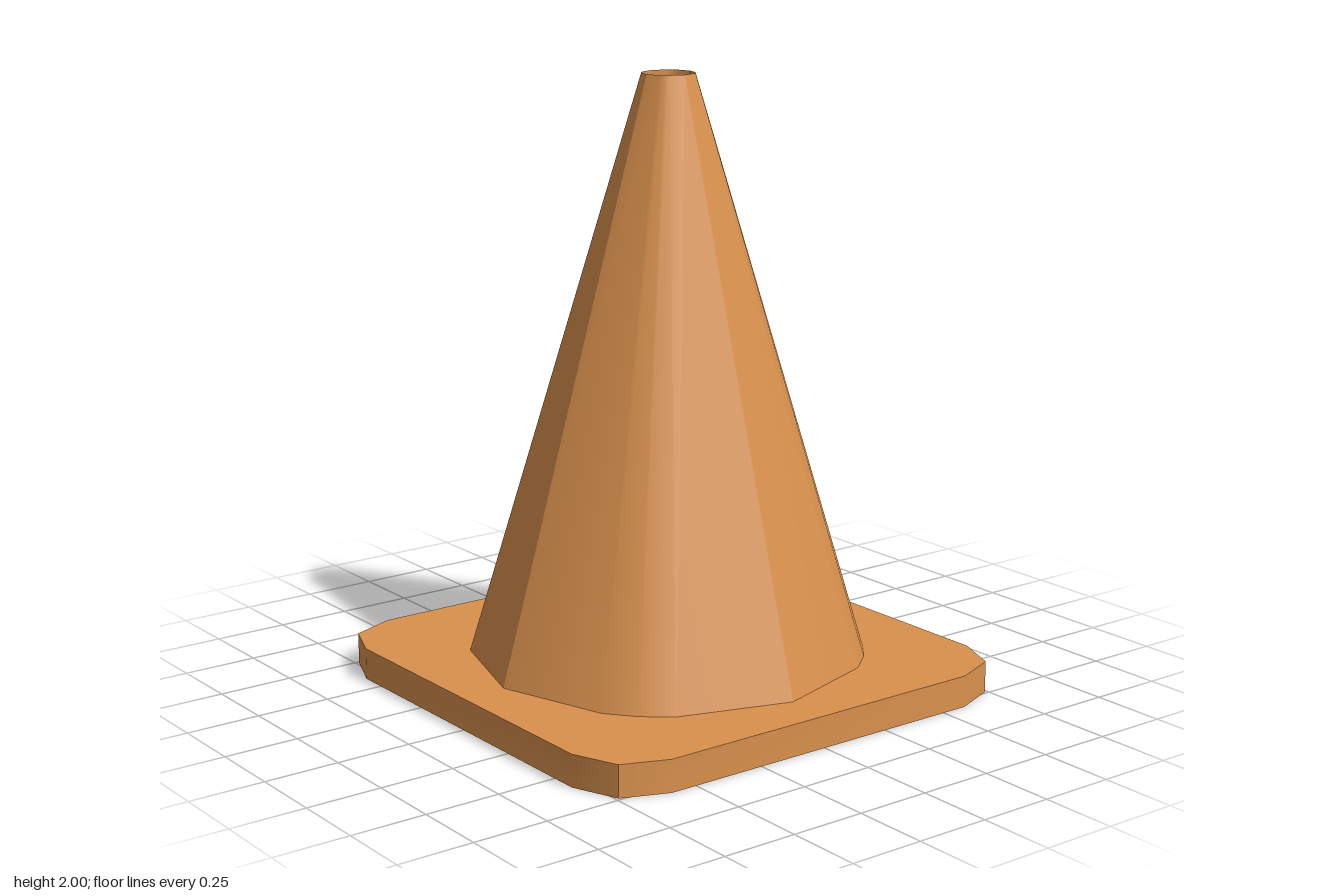
import * as THREE from 'three';
import { toCreasedNormals } from 'three/addons/utils/BufferGeometryUtils.js';

// Repeat one quarter of an outline around the y axis
function fourfold(quarter) {
  const ring = [];
  for (let q = 0; q < 4; q++) {
    for (const [x, z] of quarter) {
      ring.push([[x, z], [-z, x], [-x, -z], [z, -x]][q]);
    }
  }
  return ring;
}

// Place an outline at a height, scaled and shifted
const place = (ring, y, s = 1, dx = 0, dz = 0) =>
  ring.map(([x, z]) => [x * s + dx, y, z * s + dz]);

// Skin a stack of rings, optionally closing the first and last
function loft(rings, capFirst, capLast) {
  const n = rings[0].length;
  const index = [];
  for (let r = 0; r < rings.length - 1; r++) {
    for (let i = 0; i < n; i++) {
      const a = r * n + i, b = r * n + (i + 1) % n;
      index.push(a, a + n, b, b, a + n, b + n);
    }
  }
  const last = (rings.length - 1) * n;
  for (let i = 1; i < n - 1; i++) {
    if (capFirst) index.push(0, i, i + 1);
    if (capLast) index.push(last, last + i + 1, last + i);
  }
  const g = new THREE.BufferGeometry();
  g.setAttribute('position', new THREE.Float32BufferAttribute(rings.flat(2), 3));
  g.setIndex(index);
  return toCreasedNormals(g, 0.5);
}

export function createModel() {
  const group = new THREE.Group();
  group.name = 'trafficCone';
  const orange = new THREE.MeshStandardMaterial({ color: 0xd9914d });
  const add = (name, geometry) => {
    const mesh = new THREE.Mesh(geometry, orange);
    mesh.name = name;
    group.add(mesh);
  };

  // Square foot with clipped corners
  const foot = fourfold([[0.8, -0.59], [0.8, 0.59], [0.74, 0.74]]);
  add('basePlate', loft([place(foot, 0), place(foot, 0.105)], true, true));

  // Tapered body, tip slightly off centre, with a shallow recess in the tip
  const round = fourfold([[0.648, 0], [0.533, 0.37], [0.46, 0.46], [0.37, 0.533]]);
  const tip = (y) => place(round, y, 0.132, 0.018, -0.016);
  add('coneBody', loft([place(round, 0.105), tip(2)], false, false));
  add('tipRecess', loft([tip(2), tip(1.96)], false, true));

  return group;
}
